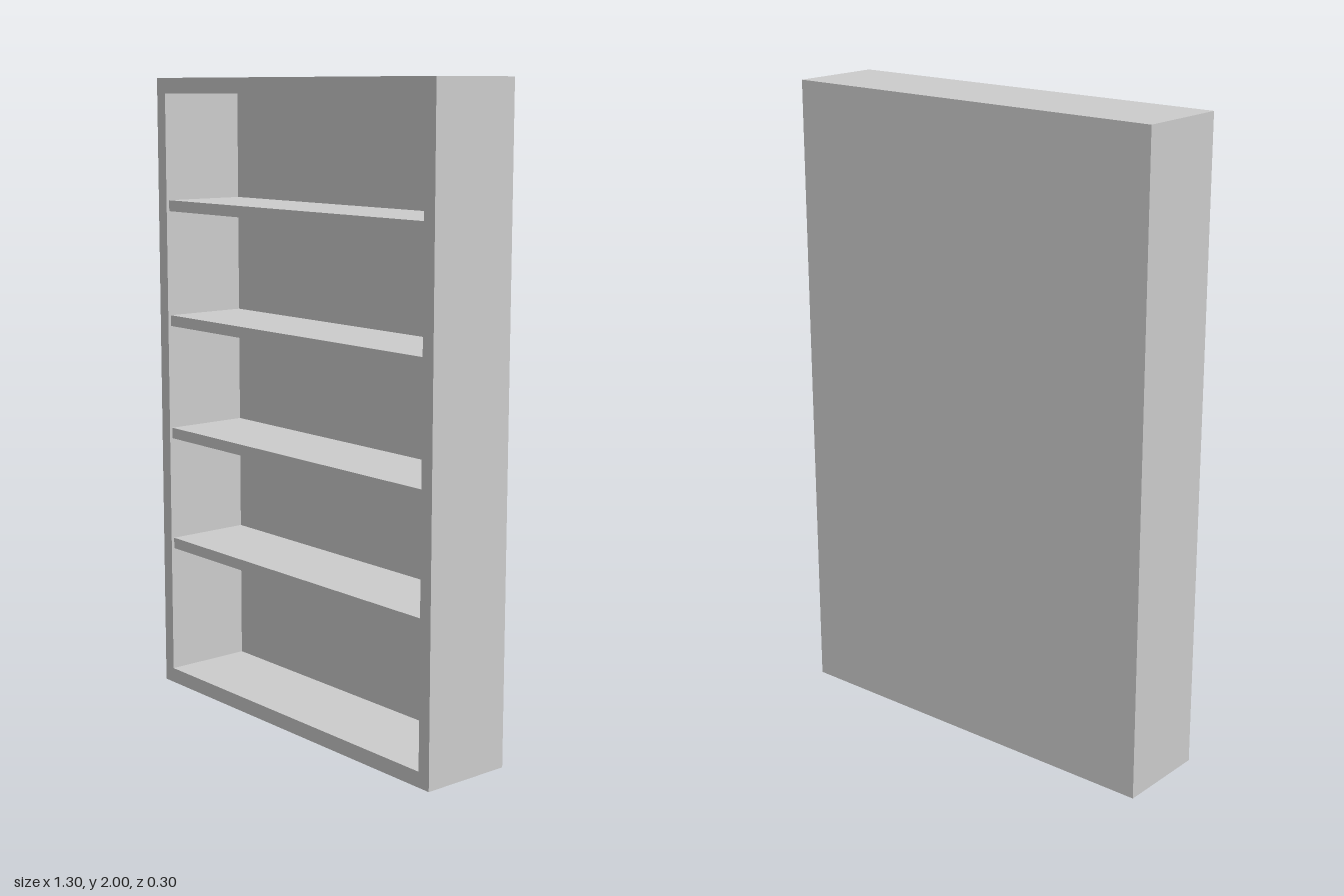
import * as THREE from 'three';

const W = 1.296, H = 2, D = 0.296;   // overall size
const SIDE = 0.043, CAP = 0.048;     // side and top/bottom board thickness
const BACK = 0.008;                  // back panel thickness
const SHELF = 0.035, INSET = 0.01;   // shelf thickness and front setback

export function createModel() {
  const group = new THREE.Group();
  const material = new THREE.MeshStandardMaterial({ color: 0xcccccc });

  const add = (name, geometry, x, y, z) => {
    const mesh = new THREE.Mesh(geometry, material);
    mesh.name = name;
    mesh.position.set(x, y, z);
    group.add(mesh);
  };

  // Outer case: a rectangular frame extruded from the back panel to the front
  const innerW = W - 2 * SIDE, innerH = H - 2 * CAP;
  const rect = (Type, w, h) => new Type([
    new THREE.Vector2(-w / 2, -h / 2), new THREE.Vector2(w / 2, -h / 2),
    new THREE.Vector2(w / 2, h / 2), new THREE.Vector2(-w / 2, h / 2),
  ]);
  const outline = rect(THREE.Shape, W, H);
  outline.holes.push(rect(THREE.Path, innerW, innerH));
  add('caseFrame', new THREE.ExtrudeGeometry(outline, { depth: D, bevelEnabled: false }),
    0, H / 2, -D / 2);

  // Thin back panel set flush inside the frame
  add('backPanel', new THREE.BoxGeometry(innerW, innerH, BACK), 0, H / 2, -D / 2 + BACK / 2);

  // Four evenly spaced shelves, slightly behind the front edge
  const shelfDepth = D - BACK - INSET;
  for (let i = 0; i < 4; i++) {
    add(`shelf${i + 1}`, new THREE.BoxGeometry(innerW, SHELF, shelfDepth),
      0, 0.48 + i * 0.372, -D / 2 + BACK + shelfDepth / 2);
  }

  return group;
}
